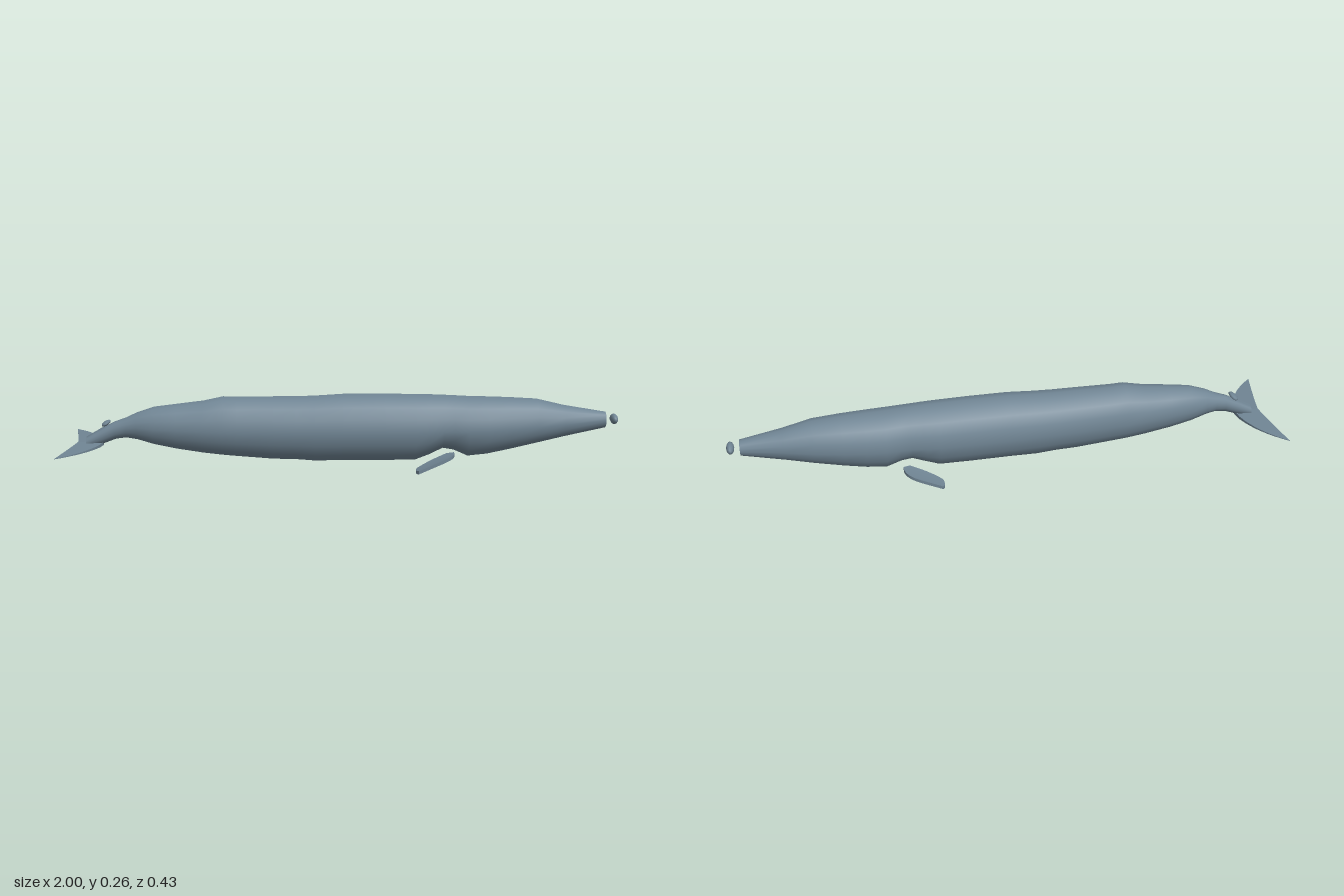
import * as THREE from 'three';
import { toCreasedNormals } from 'three/addons/utils/BufferGeometryUtils.js';

const skin = new THREE.MeshStandardMaterial({ color: 0x708594 });
skin.name = 'slateBlueSkin';

// Stations along the body: [x, belly y, widest y, back y, half width]
const STATIONS = [
  [-0.925, 0.062, 0.083, 0.104, 0.022],
  [-0.87, 0.076, 0.108, 0.136, 0.024],
  [-0.82, 0.095, 0.13, 0.16, 0.027],
  [-0.78, 0.1, 0.14, 0.174, 0.034],
  [-0.74, 0.093, 0.145, 0.193, 0.045],
  [-0.68, 0.075, 0.142, 0.213, 0.06],
  [-0.6, 0.058, 0.14, 0.223, 0.073],
  [-0.5, 0.042, 0.138, 0.235, 0.085],
  [-0.43, 0.034, 0.136, 0.25, 0.092],
  [-0.38, 0.029, 0.135, 0.248, 0.093],
  [-0.25, 0.018, 0.133, 0.249, 0.098],
  [-0.17, 0.016, 0.132, 0.249, 0.1],
  [-0.1, 0.01, 0.132, 0.251, 0.102],
  [0, 0.012, 0.132, 0.257, 0.105],
  [0.15, 0.011, 0.132, 0.257, 0.105],
  [0.26, 0.012, 0.132, 0.255, 0.104],
  [0.31, 0.032, 0.134, 0.254, 0.101],
  [0.36, 0.058, 0.136, 0.252, 0.097],
  [0.4, 0.05, 0.136, 0.25, 0.097],
  [0.45, 0.026, 0.135, 0.247, 0.1],
  [0.52, 0.033, 0.136, 0.245, 0.096],
  [0.6, 0.05, 0.14, 0.242, 0.089],
  [0.7, 0.073, 0.146, 0.236, 0.076],
  [0.8, 0.096, 0.152, 0.212, 0.057],
  [0.953, 0.128, 0.157, 0.186, 0.028],
];

// Loft of egg-shaped rings, closed at both ends
function bodyGeometry(sides = 16) {
  const shut = ([x, , mid]) => [x, mid, mid, mid, 0];
  const rings = [shut(STATIONS[0]), ...STATIONS, shut(STATIONS[STATIONS.length - 1])];
  const pos = [], index = [];
  rings.forEach(([x, low, mid, high, w], i) => {
    for (let j = 0; j < sides; j++) {
      const a = (j / sides) * Math.PI * 2, c = Math.cos(a);
      pos.push(x, mid + c * (c > 0 ? high - mid : mid - low), w * Math.sin(a));
      if (i === rings.length - 1) continue;
      const k = (j + 1) % sides, p = i * sides, q = p + sides;
      if (i > 0) index.push(p + j, p + k, q + j);
      if (i < rings.length - 2) index.push(p + k, q + k, q + j);
    }
  });
  const g = new THREE.BufferGeometry();
  g.setAttribute('position', new THREE.Float32BufferAttribute(pos, 3));
  g.setIndex(index);
  return toCreasedNormals(g, 0.9);
}

// Flat plate from an outline in x and z, its height set by a rule
function plate(shape, thick, rule) {
  const g = new THREE.ExtrudeGeometry(shape, { depth: thick, bevelEnabled: false, curveSegments: 8 });
  g.translate(0, 0, -thick / 2).rotateX(Math.PI / 2);
  const p = g.attributes.position;
  for (let i = 0; i < p.count; i++) p.setY(i, rule(p.getX(i), p.getY(i), p.getZ(i)));
  g.computeVertexNormals();
  return toCreasedNormals(g, 0.6);
}

export function createModel() {
  const whale = new THREE.Group();
  whale.name = 'whale';
  const add = (name, geometry) => {
    const m = new THREE.Mesh(geometry, skin);
    m.name = name;
    whale.add(m);
    return m;
  };

  add('body', bodyGeometry());

  // Snout tip, set just ahead of the body
  const snout = add('snoutTip', new THREE.SphereGeometry(1, 12, 8));
  snout.scale.set(0.014, 0.018, 0.031);
  snout.position.set(0.986, 0.159, 0);

  // Small back fin on the tail stalk
  const backFin = add('backFin', new THREE.SphereGeometry(1, 10, 6));
  backFin.scale.set(0.018, 0.008, 0.029);
  backFin.position.set(-0.853, 0.153, 0);
  backFin.rotation.z = 0.5;

  for (const [side, s] of [['left', -1], ['right', 1]]) {
    // Tail fluke, thinning towards its tip
    const fluke = new THREE.Shape();
    fluke.moveTo(-0.865, 0);
    fluke.lineTo(-0.872, s * 0.04);
    fluke.quadraticCurveTo(-0.905, s * 0.14, -1, s * 0.216);
    fluke.quadraticCurveTo(-0.972, s * 0.09, -0.957, 0);
    add(side + 'Fluke', plate(fluke, 0.012, (x, y, z) => 0.078 + y * (1 - Math.abs(z) / 0.24)));

    // Flipper, sweeping down and back
    const flipper = new THREE.Shape();
    flipper.moveTo(0.37, s * 0.075);
    flipper.lineTo(0.395, s * 0.09);
    flipper.quadraticCurveTo(0.4, s * 0.145, 0.34, s * 0.158);
    flipper.lineTo(0.265, s * 0.167);
    flipper.quadraticCurveTo(0.25, s * 0.15, 0.26, s * 0.12);
    flipper.quadraticCurveTo(0.29, s * 0.1, 0.33, s * 0.088);
    const drop = (x) => 0.056 - 0.052 * Math.pow(Math.max(0, 0.4 - x) / 0.143, 1.2);
    add(side + 'Flipper', plate(flipper, 0.012, (x, y) => Math.max(0, drop(x) + y)));
  }
  // The front faces +z, so the model's right flank is at -x only for the tail;
  // flippers and flukes are paired across z.
  return whale;
}
